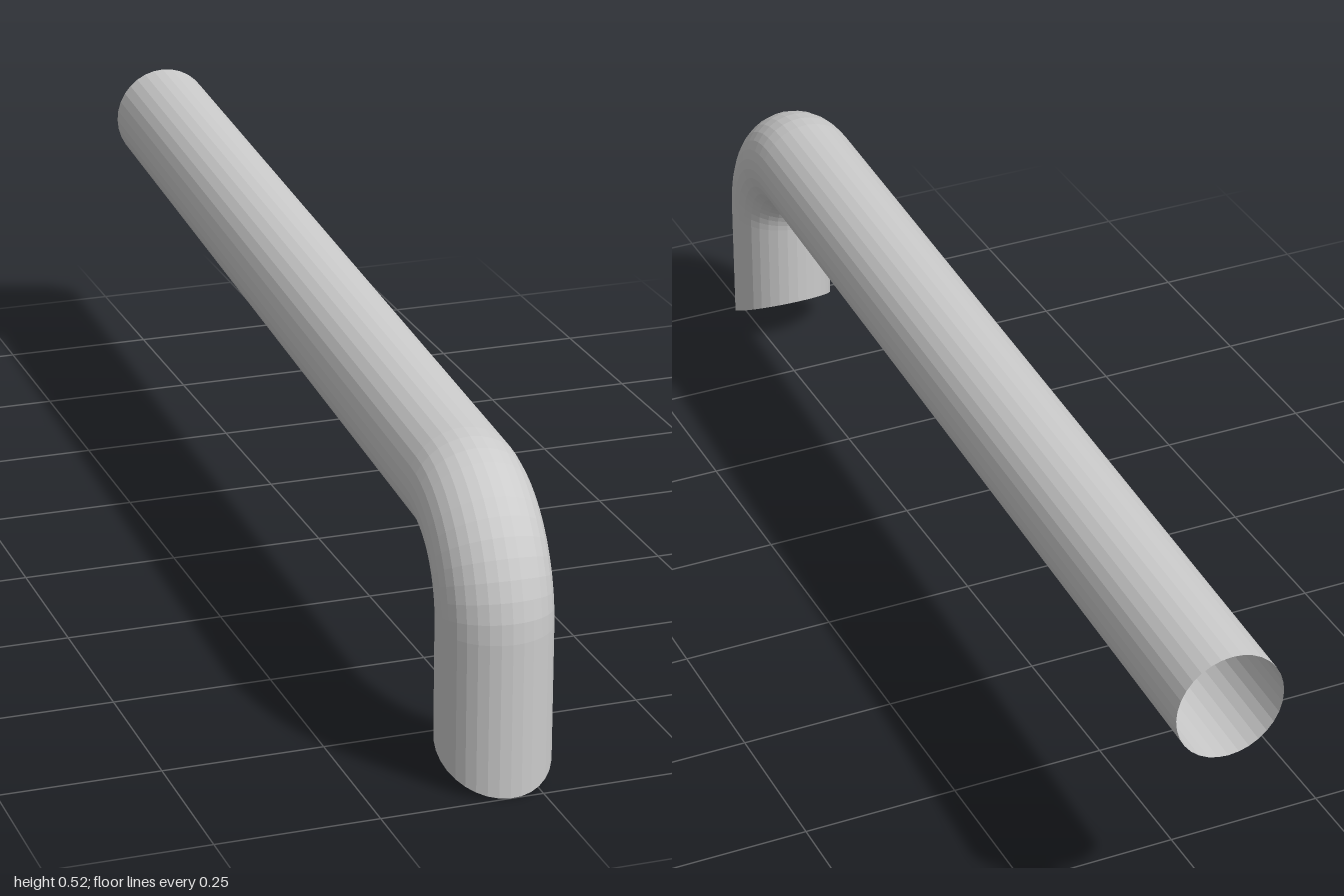
import * as THREE from 'three';

const RADIUS = 0.0865, BEND = 0.157, SIDES = 32, BEND_STEPS = 12;

export function createModel() {
  const group = new THREE.Group();
  group.name = 'bentPipe';

  // centre line: a vertical leg and a long, slightly skewed arm meeting at a corner
  const corner = new THREE.Vector3(-0.0465, 0.396, 0.9135);
  const end = new THREE.Vector3(0.044, 0.4305, -1);
  const up = new THREE.Vector3(0, 1, 0);
  const along = end.clone().sub(corner).normalize();
  const side = up.clone().cross(along).normalize();
  const angle = up.angleTo(along);
  const bendStart = corner.clone().addScaledVector(up, -BEND * Math.tan(angle / 2));
  const inward = side.clone().cross(up);
  const pivot = bendStart.clone().addScaledVector(inward, BEND);

  const positions = [];
  // one cross-section; a cut plane, if given, trims it along the tangent
  function addRing(center, tangent, cut) {
    const normal = side.clone().cross(tangent);
    for (let j = 0; j < SIDES; j++) {
      const a = (j / SIDES) * Math.PI * 2;
      const p = center.clone()
        .addScaledVector(normal, RADIUS * Math.cos(a))
        .addScaledVector(side, RADIUS * Math.sin(a));
      if (cut) p.addScaledVector(tangent, -cut.distanceToPoint(p) / cut.normal.dot(tangent));
      positions.push(p.x, p.y, p.z);
    }
  }

  // slanted foot of the leg
  const footCut = new THREE.Plane().setFromNormalAndCoplanarPoint(
    new THREE.Vector3(0, 1, 0.53).normalize(), new THREE.Vector3(0, 0, 1));
  addRing(bendStart, up, footCut);

  // rounded elbow
  for (let i = 0; i <= BEND_STEPS; i++) {
    const a = (i / BEND_STEPS) * angle;
    const tangent = up.clone().applyAxisAngle(side, a);
    const center = pivot.clone().addScaledVector(side.clone().cross(tangent), -BEND);
    addRing(center, tangent);
  }

  // far end, cut square to z
  addRing(end, along, new THREE.Plane(new THREE.Vector3(0, 0, 1), 1));

  const index = [];
  const rings = positions.length / 3 / SIDES;
  for (let i = 0; i < rings - 1; i++) {
    for (let j = 0; j < SIDES; j++) {
      const k = (j + 1) % SIDES;
      const a = i * SIDES + j, b = i * SIDES + k;
      index.push(a, b, a + SIDES, b, b + SIDES, a + SIDES);
    }
  }

  const geometry = new THREE.BufferGeometry();
  geometry.setAttribute('position', new THREE.Float32BufferAttribute(positions, 3));
  geometry.setIndex(index);
  geometry.computeVertexNormals();

  // thin open tube
  const pipe = new THREE.Mesh(geometry, new THREE.MeshStandardMaterial({
    color: 0xcccccc, flatShading: true, side: THREE.DoubleSide,
  }));
  pipe.name = 'pipe';
  group.add(pipe);
  return group;
}
